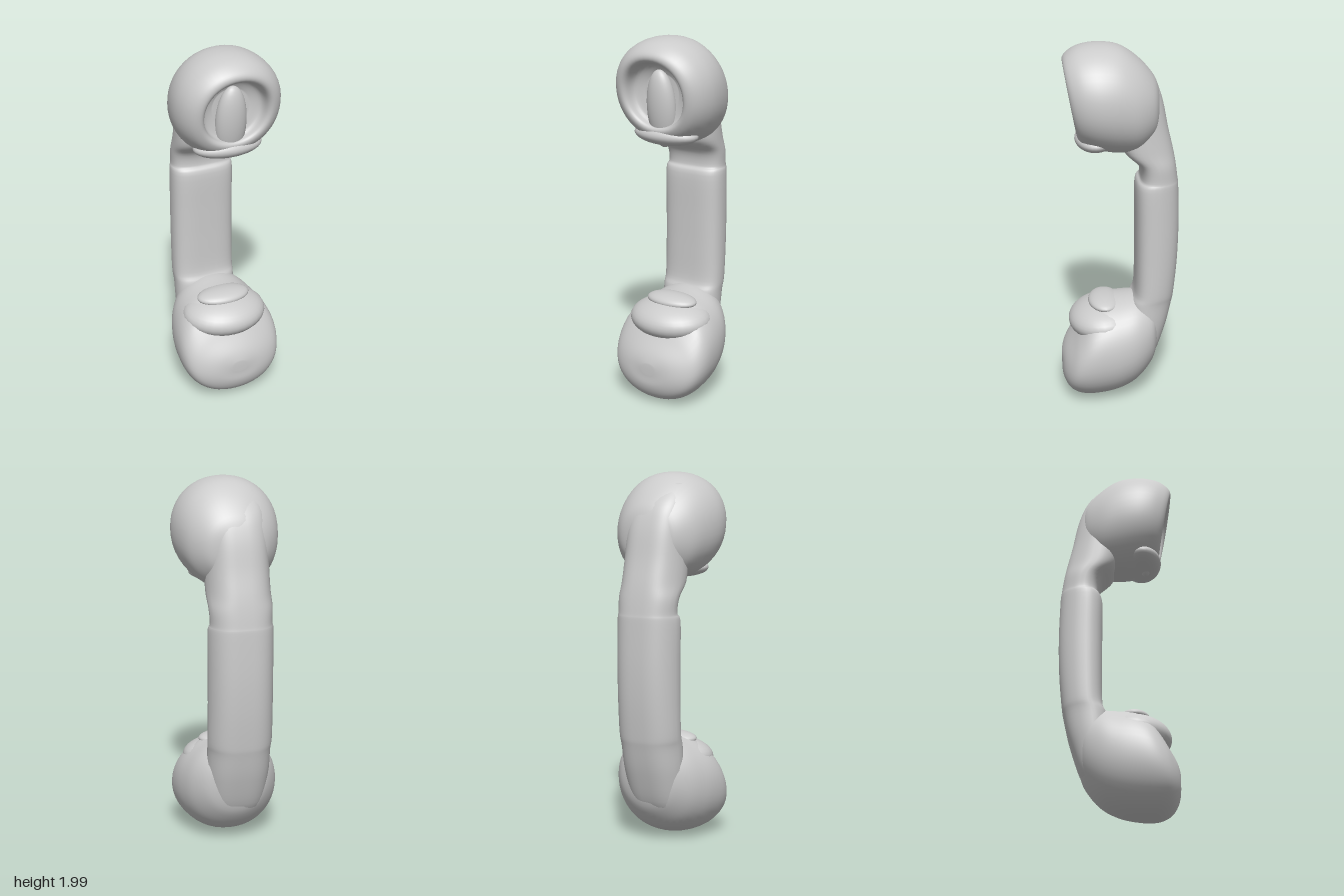
import * as THREE from 'three';

const SEG = 48;
const material = new THREE.MeshStandardMaterial({ color: 0xcccccc });

// One point of a superellipse: n = 2 is round, larger n is squarer
function superPoint(j, n) {
  const a = (j / SEG) * Math.PI * 2;
  const f = (v) => Math.sign(v) * Math.abs(v) ** (2 / n);
  return [f(Math.cos(a)), f(Math.sin(a))];
}

// Skins closed rings of points, smooths between the stations and caps both ends
function loft(name, stations, place, steps = 5) {
  const curve = stations[0].map((_, k) => stations.map((s) => s[k]));
  const sample = (vals, t) => {
    const i = Math.min(Math.floor(t), vals.length - 2);
    const at = (k) => vals[Math.max(0, Math.min(vals.length - 1, k))];
    const [a, b, c, d] = [at(i - 1), at(i), at(i + 1), at(i + 2)];
    const u = t - i;
    return b + 0.5 * u * (c - a + u * (2 * a - 5 * b + 4 * c - d + u * (3 * (b - c) + d - a)));
  };
  const rows = (stations.length - 1) * steps;
  const pos = [], idx = [];
  for (let r = 0; r <= rows; r++) {
    const s = curve.map((vals) => sample(vals, r / steps));
    for (let j = 0; j < SEG; j++) pos.push(...place(s, j));
  }
  for (let r = 0; r < rows; r++) {
    for (let j = 0; j < SEG; j++) {
      const k = (j + 1) % SEG;
      const a = r * SEG + j, b = r * SEG + k;
      idx.push(a, b, b + SEG, a, b + SEG, a + SEG);
    }
  }
  for (const r of [0, rows]) {
    const centre = [0, 0, 0], c = pos.length / 3;
    for (let j = 0; j < SEG; j++) {
      for (let k = 0; k < 3; k++) centre[k] += pos[(r * SEG + j) * 3 + k] / SEG;
    }
    pos.push(...centre);
    for (let j = 0; j < SEG; j++) {
      const a = r * SEG + j, b = r * SEG + (j + 1) % SEG;
      idx.push(...(r ? [c, a, b] : [c, b, a]));
    }
  }
  const geo = new THREE.BufferGeometry();
  geo.setAttribute('position', new THREE.Float32BufferAttribute(pos, 3));
  geo.setIndex(idx);
  geo.computeVertexNormals();
  const mesh = new THREE.Mesh(geo, material);
  mesh.name = name;
  return mesh;
}

// Head station: z, bottom y, top y, half width, forward lean per unit height
function headRing([z, y0, y1, w, lean], j) {
  const [cx, cy] = superPoint(j, 2.1);
  const dy = cy * (y1 - y0) / 2;
  return [cx * w, (y0 + y1) / 2 + dy, z + dy * lean];
}

// Handle station: y, back z, front z, half width; narrower towards the back
function handleRing([y, z0, z1, w], j) {
  const [cz, cx] = superPoint(j, 3.2);
  const taper = 1 - 0.24 * Math.max(0, -cz);
  return [-0.017 + cx * w * taper, y, (z0 + z1) / 2 + cz * (z1 - z0) / 2];
}

function ellipsoid(name, position, radii, tilt = 0) {
  const mesh = new THREE.Mesh(new THREE.SphereGeometry(1, 32, 20), material);
  mesh.name = name;
  mesh.position.set(...position);
  mesh.scale.set(...radii);
  mesh.rotation.x = tilt;
  return mesh;
}

export function createModel() {
  const group = new THREE.Group();
  group.name = 'telephoneHandset';

  // Curved grip whose back runs over both heads
  group.add(loft('handle', [
    [0.13, -0.1, -0.02, 0.09],
    [0.22, -0.19, -0.03, 0.145],
    [0.4, -0.255, -0.05, 0.168],
    [0.55, -0.29, -0.06, 0.172],
    [0.62, -0.302, -0.085, 0.175],
    [0.8, -0.318, -0.09, 0.175],
    [1.0, -0.324, -0.09, 0.175],
    [1.22, -0.319, -0.09, 0.175],
    [1.27, -0.314, -0.115, 0.166],
    [1.35, -0.303, -0.1, 0.17],
    [1.43, -0.288, -0.02, 0.172],
    [1.55, -0.26, 0, 0.17],
    [1.72, -0.224, 0, 0.165],
    [1.84, -0.17, 0, 0.15],
    [1.94, -0.06, 0, 0.11],
  ], handleRing));

  // Mouthpiece head with a domed face that leans back at the top
  group.add(loft('mouthpieceHead', [
    [-0.21, 0.28, 0.5, 0.09, 0],
    [-0.18, 0.19, 0.56, 0.17, 0],
    [-0.1, 0.09, 0.59, 0.235, 0],
    [0, 0.035, 0.585, 0.27, 0],
    [0.1, 0.012, 0.575, 0.285, -0.05],
    [0.18, 0.014, 0.535, 0.283, -0.1],
    [0.24, 0.042, 0.45, 0.258, -0.14],
    [0.28, 0.085, 0.375, 0.205, -0.16],
    [0.308, 0.135, 0.31, 0.13, -0.12],
    [0.32, 0.19, 0.25, 0.04, 0],
  ], headRing));

  // Rounded lip above the groove of the mouthpiece
  group.add(ellipsoid('mouthpieceLip', [0, 0.455, 0.09], [0.235, 0.105, 0.19], 0.1));
  group.add(ellipsoid('mouthpieceTopBump', [0, 0.55, 0.08], [0.15, 0.04, 0.09]));

  // Earpiece head whose front rim turns inwards into a hollow
  group.add(loft('earpieceHead', [
    [-0.21, 1.56, 1.76, 0.08, 0],
    [-0.18, 1.5, 1.83, 0.165, 0],
    [-0.1, 1.43, 1.92, 0.235, 0],
    [0, 1.42, 1.985, 0.272, 0],
    [0.1, 1.432, 2.0, 0.286, 0.05],
    [0.18, 1.45, 1.985, 0.274, 0.12],
    [0.235, 1.475, 1.95, 0.243, 0.16],
    [0.258, 1.51, 1.915, 0.205, 0.18],
    [0.245, 1.535, 1.885, 0.178, 0.17],
    [0.19, 1.55, 1.865, 0.158, 0.08],
    [0.165, 1.61, 1.81, 0.1, 0],
  ], headRing));

  // Tongue in the hollow, running out over the rounded lower rim
  group.add(ellipsoid('earpieceTongue', [0, 1.63, 0.17], [0.085, 0.21, 0.06], 0.12));
  group.add(ellipsoid('earpieceLowerRim', [0, 1.49, 0.13], [0.19, 0.058, 0.105]));
  return group;
}
